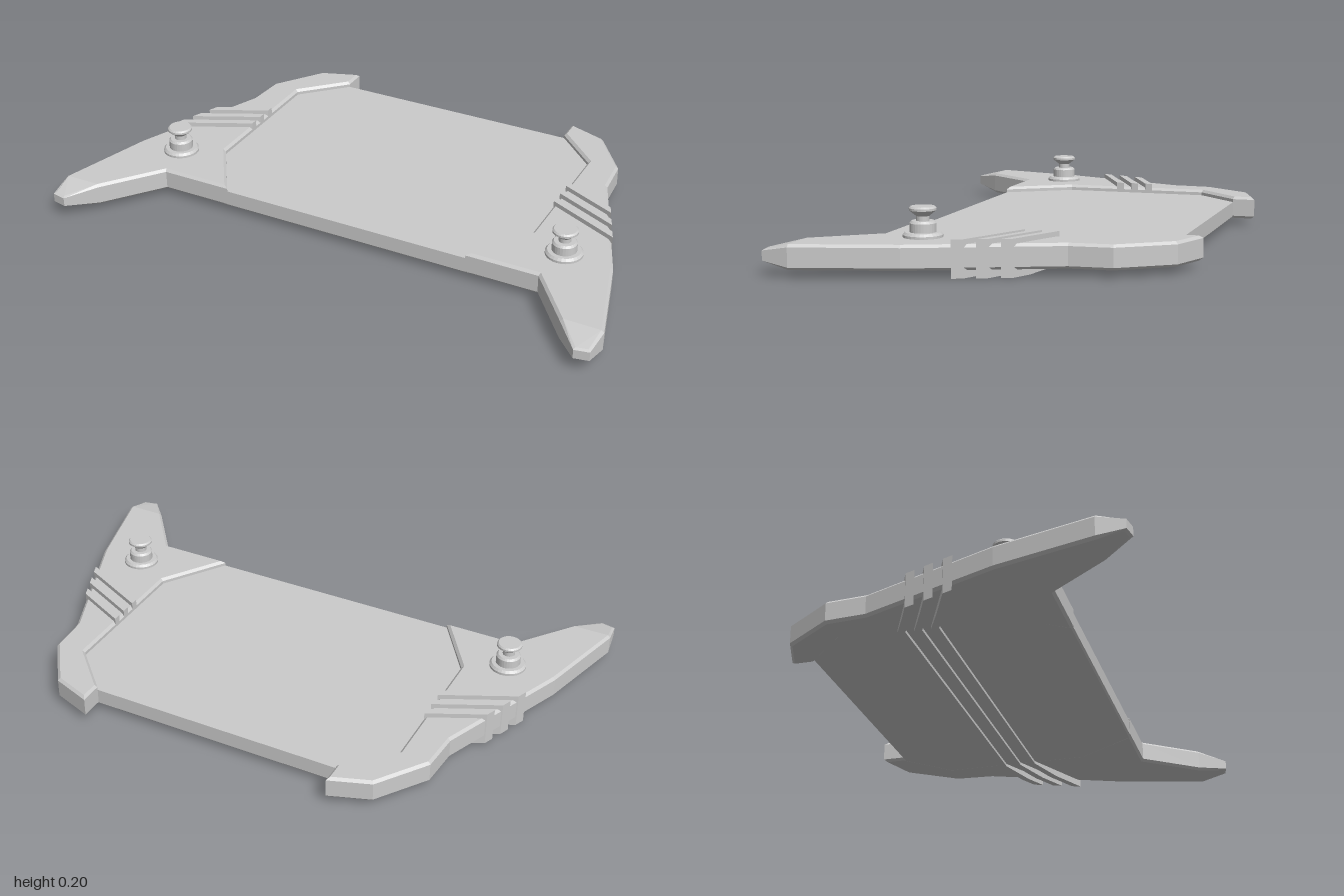
import * as THREE from 'three';

const material = new THREE.MeshStandardMaterial({ color: 0xcccccc, flatShading: true });

// Solid from stacked outlines (bottom to top, clockwise from above); caps list the outline indices of each flat area
function stack(rings, caps) {
  const out = [];
  const n = rings[0].length;
  const tri = (a, b, c) => out.push(...a, ...b, ...c);
  for (let i = 0; i + 1 < rings.length; i++) {
    for (let j = 0; j < n; j++) {
      const k = (j + 1) % n;
      const a = rings[i][j], b = rings[i][k], c = rings[i + 1][j], d = rings[i + 1][k];
      tri(a, c, d);
      tri(a, d, b);
    }
  }
  for (const [ring, up] of [[rings[0], false], [rings[rings.length - 1], true]]) {
    for (const cap of caps) {
      const pts = cap.map((i) => ring[i]);
      const flat = pts.map((p) => new THREE.Vector2(p[0], p[2]));
      for (const f of THREE.ShapeUtils.triangulateShape(flat, [])) {
        const [a, b, c] = f.map((i) => pts[i]);
        const area = (b[0] - a[0]) * (c[2] - a[2]) - (b[2] - a[2]) * (c[0] - a[0]);
        if ((area < 0) === up) tri(a, b, c);
        else tri(a, c, b);
      }
    }
  }
  const geo = new THREE.BufferGeometry();
  geo.setAttribute('position', new THREE.Float32BufferAttribute(out, 3));
  geo.computeVertexNormals();
  return geo;
}

// Copy reflected across x = 0 with the winding put right
function mirrored(geo) {
  const p = geo.getAttribute('position');
  const out = [];
  for (let i = 0; i < p.count; i += 3) {
    for (const k of [i, i + 2, i + 1]) out.push(-p.getX(k), p.getY(k), p.getZ(k));
  }
  const copy = new THREE.BufferGeometry();
  copy.setAttribute('position', new THREE.Float32BufferAttribute(out, 3));
  copy.computeVertexNormals();
  return copy;
}

// Outline moved inward by d, with mitred corners
function inset(outline, d) {
  const n = outline.length;
  const normal = (a, b) => {
    const l = Math.hypot(b[0] - a[0], b[1] - a[1]);
    return [-(b[1] - a[1]) / l, (b[0] - a[0]) / l];
  };
  return outline.map((p, i) => {
    const u = normal(outline[(i + n - 1) % n], p);
    const v = normal(p, outline[(i + 1) % n]);
    const s = d / (1 + u[0] * v[0] + u[1] * v[1]);
    return [p[0] + (u[0] + v[0]) * s, p[1] + (u[1] + v[1]) * s];
  });
}

const range = (n) => Array.from({ length: n }, (_, i) => i);

// Side grip: chamfered outline whose front tip thins out
function gripGeometry() {
  const outline = [
    [0.45, -0.63], [0.59, -0.58], [0.71, -0.41], [0.72, -0.27], [0.91, 0.2], [1, 0.53], [0.99, 0.62],
    [0.94, 0.63], [0.86, 0.535], [0.71, 0.34], [0.455, 0.34], [0.6, 0.12], [0.6, -0.4], [0.45, -0.55],
  ];
  const mid = 0.064;
  const rings = [[0.009, -0.04], [0, -0.031], [0, 0.031], [0.009, 0.04]].map(([d, h]) =>
    inset(outline, d).map(([x, z], i) => {
      const tip = i === 6 || i === 7;
      return [x, mid + h * (tip ? 0.5 : 1), z];
    }));
  return stack(rings, [[0, 1, 2, 3, 4, 5, 8, 9, 10, 11, 12, 13], [5, 6, 7, 8]]);
}

// Ribs slant across the grips; s is the edge position at x = 0.6
const slant = (s, x) => s + 0.48 * Math.max(0, x - 0.6);
const outerX = (s) => 0.6 + (0.12 + 0.404 * (0.27 + s)) / 0.806;
const reach = 0.004;

// Rib along the given x stations, ending on the outer edge of the grip; lows holds the underside heights
function ribGeometry(front, back, stations, lows, top) {
  const edge = (s) => [...stations, null].map((x) => {
    const px = x === null ? outerX(s) + reach : x;
    return [px, slant(s, px)];
  });
  const outline = [...edge(back), ...edge(front).reverse()];
  const heights = [...lows, ...[...lows].reverse()];
  const n = outline.length;
  const caps = range(n / 2 - 1).map((i) => [i, i + 1, n - 2 - i, n - 1 - i]);
  return stack([
    outline.map(([x, z], i) => [x, heights[i], z]),
    outline.map(([x, z]) => [x, top, z]),
  ], caps);
}

// Short upright block joining the upper and lower rib around the side
function sideRibGeometry(front, back) {
  const end = (s, d) => [outerX(s) + d, slant(s, outerX(s) + d)];
  const outline = [end(back, -0.03), end(back, reach), end(front, reach), end(front, -0.03)];
  return stack([0.004, 0.116].map((y) => outline.map(([x, z]) => [x, y, z])), [range(4)]);
}

// Thumbstick: stepped base, thin neck and flared cap
function stickGeometry() {
  const profile = [
    [0, 0.1], [0.063, 0.1], [0.063, 0.112], [0.056, 0.12], [0.042, 0.12], [0.042, 0.148], [0.036, 0.155],
    [0.021, 0.155], [0.021, 0.17], [0.043, 0.188], [0.043, 0.195], [0.038, 0.2], [0, 0.2],
  ].map(([r, y]) => new THREE.Vector2(r, y));
  return new THREE.LatheGeometry(profile, 28);
}

export function createModel() {
  const model = new THREE.Group();
  model.name = 'gamepadTray';
  const add = (parent, geo, name) => {
    const mesh = new THREE.Mesh(geo, material);
    mesh.name = name;
    parent.add(mesh);
    return mesh;
  };

  // Central plate, tucked slightly into the grips
  const plate = [
    [-0.47, -0.55], [0.47, -0.55], [0.62, -0.4], [0.62, 0.12],
    [0.47, 0.339], [-0.47, 0.339], [-0.62, 0.12], [-0.62, -0.4],
  ];
  const plateRings = [[0.006, 0.0245], [0, 0.031], [0, 0.084]].map(([d, y]) =>
    inset(plate, d).map(([x, z]) => [x, y, z]));
  add(model, stack(plateRings, [range(8)]), 'centrePlate');

  // Grip parts made once for the left and reflected for the right
  const parts = [['grip', gripGeometry()]];
  for (let i = 0; i < 3; i++) {
    const front = -0.065 - i * 0.0565;
    const back = front - 0.027;
    parts.push(['upperRib', ribGeometry(front, back, [0.6], [0.09, 0.09], 0.12)]);
    parts.push(['lowerRib', ribGeometry(front, back, [0, 0.6, 0.72], [0.014, 0.014, 0, 0], 0.04)]);
    parts.push(['sideRib', sideRibGeometry(front, back)]);
  }
  for (const side of [1, -1]) {
    const half = new THREE.Group();
    half.name = side > 0 ? 'leftSide' : 'rightSide';
    for (const [name, geo] of parts) add(half, side > 0 ? geo : mirrored(geo), name);
    add(half, stickGeometry(), 'thumbstick').position.set(side * 0.74, 0, 0.195);
    model.add(half);
  }
  return model;
}
